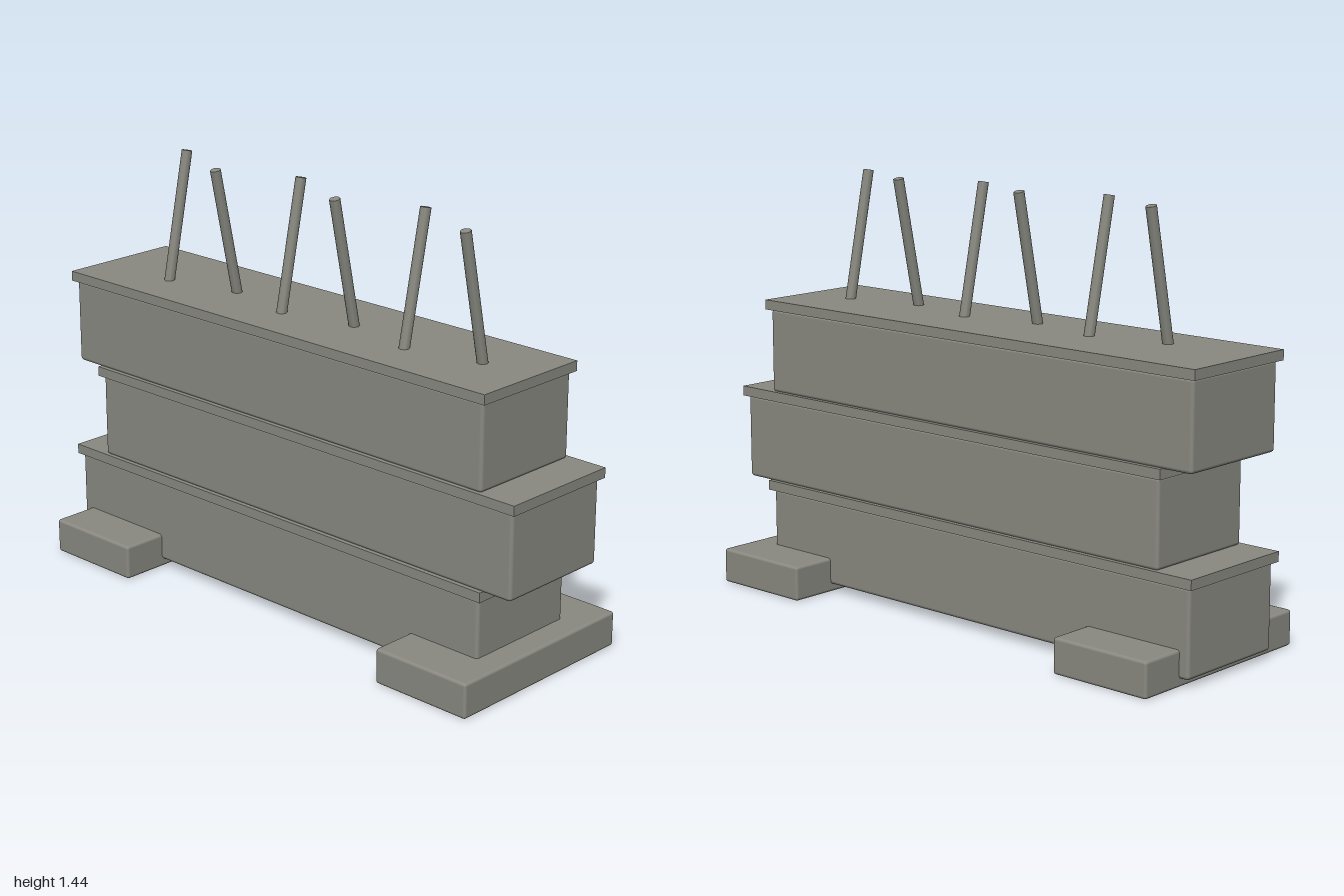
import * as THREE from 'three';
import { RoundedBoxGeometry } from 'three/addons/geometries/RoundedBoxGeometry.js';

export function createModel() {
  const model = new THREE.Group();
  model.name = 'barrier';
  const concrete = new THREE.MeshStandardMaterial({ color: 0x8a8a82 });
  concrete.name = 'concrete grey';

  const add = (name, geometry, x, y, z = 0) => {
    const mesh = new THREE.Mesh(geometry, concrete);
    mesh.name = name;
    mesh.position.set(x, y, z);
    model.add(mesh);
    return mesh;
  };

  // Feet, one across each end
  for (const side of [-1, 1]) {
    add(side < 0 ? 'rightFoot' : 'leftFoot',
      new RoundedBoxGeometry(0.37, 0.12, 0.74, 2, 0.01), side * 0.765, 0.063);
  }

  // Three staggered courses, each a block with an overhanging slab
  const courses = ['lower', 'middle', 'upper'];
  courses.forEach((name, i) => {
    const x = i % 2 ? 0.0625 : -0.0625;
    const y = 0.033 + i * 0.321;
    add(name + 'Block', new RoundedBoxGeometry(1.845, 0.292, 0.42, 2, 0.012), x, y + 0.144);
    add(name + 'Slab', new THREE.BoxGeometry(1.875, 0.034, 0.444), x, y + 0.305);
  });

  // Reinforcing rods, leaning alternately back and forward
  const tilt = 0.208;
  const length = 0.48;
  for (let i = 0; i < 6; i++) {
    const lean = i % 2 ? 1 : -1;
    const rod = add('rod' + (i + 1), new THREE.CylinderGeometry(0.018, 0.018, length, 8),
      -0.677 + i * 0.271, 1.202, lean > 0 ? 0.041 : 0.014);
    rod.rotation.x = lean * tilt;
  }
  return model;
}
